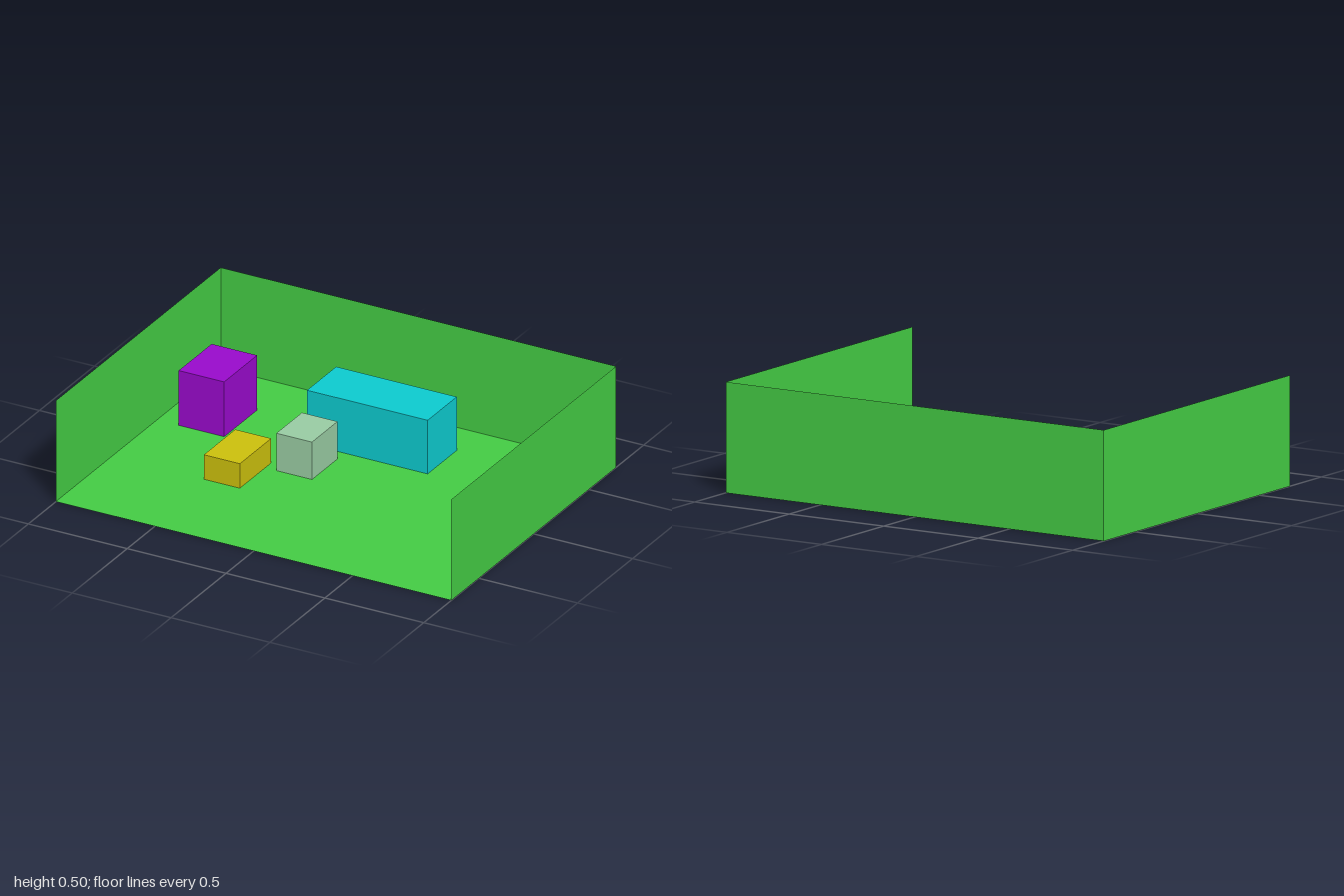
import * as THREE from 'three';

const WIDTH = 2, DEPTH = 1.5, HEIGHT = 0.5;
const FLOOR_Y = 0.001; // keeps the floor clear of the undersides of the furniture

function material(color, side = THREE.FrontSide) {
  return new THREE.MeshStandardMaterial({ color, side });
}

export function createModel() {
  const room = new THREE.Group();
  room.name = 'room';

  // Thin shell: floor, back wall and two side walls, open at the front and top
  const green = material(0x44cc44, THREE.DoubleSide);
  const panel = (name, w, h, position, rotation) => {
    const mesh = new THREE.Mesh(new THREE.PlaneGeometry(w, h), green);
    mesh.name = name;
    mesh.position.set(...position);
    mesh.rotation.set(...rotation);
    room.add(mesh);
  };
  panel('floor', WIDTH, DEPTH, [0, FLOOR_Y, 0], [-Math.PI / 2, 0, 0]);
  panel('backWall', WIDTH, HEIGHT, [0, HEIGHT / 2, -DEPTH / 2], [0, 0, 0]);
  panel('leftWall', DEPTH, HEIGHT, [WIDTH / 2, HEIGHT / 2, 0], [0, -Math.PI / 2, 0]);
  panel('rightWall', DEPTH, HEIGHT, [-WIDTH / 2, HEIGHT / 2, 0], [0, Math.PI / 2, 0]);

  // Furniture blocks, given by their x, y and z extents
  const block = (name, color, [x0, x1], [y0, y1], [z0, z1]) => {
    const mesh = new THREE.Mesh(new THREE.BoxGeometry(x1 - x0, y1 - y0, z1 - z0), material(color));
    mesh.name = name;
    mesh.position.set((x0 + x1) / 2, (y0 + y1) / 2, (z0 + z1) / 2);
    room.add(mesh);
  };
  block('cabinet', 0x990acc, [-0.89, -0.66], [0, 0.272], [-0.47, -0.17]);
  block('lowTable', 0xccc00d, [-0.535, -0.353], [0, 0.122], [-0.045, 0.24]);
  block('stool', 0x99cca3, [-0.295, -0.115], [0.002, 0.187], [-0.22, 0.012]);
  block('counter', 0x0dcbcf, [-0.305, 0.305], [0.002, 0.267], [-0.55, -0.285]);

  return room;
}
